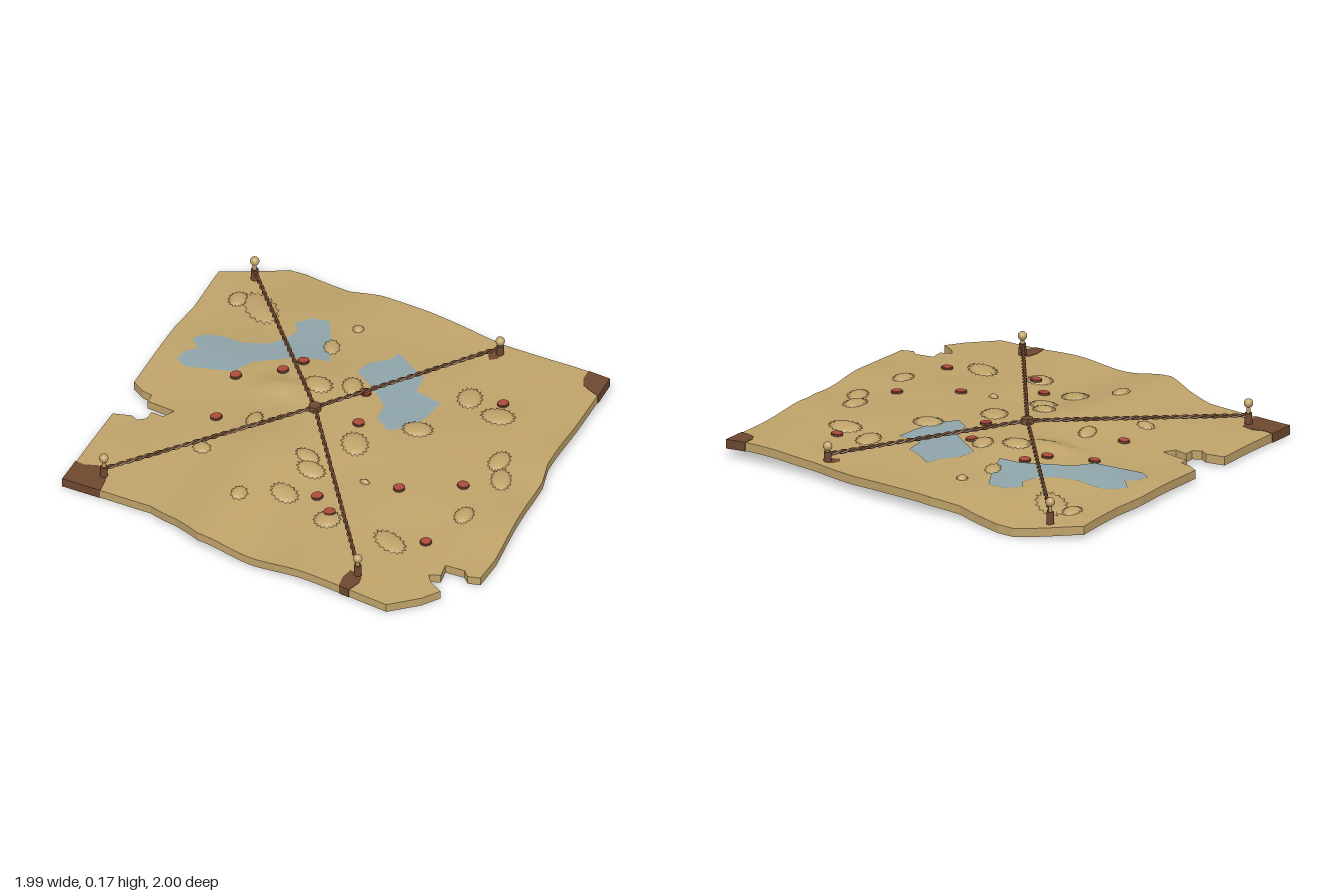
import * as THREE from 'three';
import { mergeGeometries } from 'three/addons/utils/BufferGeometryUtils.js';

const mat = (name, color, side = THREE.FrontSide) => new THREE.MeshStandardMaterial({ name, color, side });

// Terrain control heights in 1/200 units, rows z = -1..1, columns x = -1..1
const H = [
  [10, 8, 10, 16, 17, 16, 17, 19, 17],
  [12, 10, 15, 17, 16, 14, 16, 18, 15],
  [12, 12, 16, 18, 18, 16, 14, 17, 14],
  [13, 15, 18, 22, 20, 16, 17, 16, 18],
  [12, 12, 16, 20, 20, 18, 16, 14, 12],
  [10, 12, 16, 23, 18, 16, 16, 14, 14],
  [10, 12, 14, 21, 14, 16, 12, 12, 10],
  [9, 10, 12, 19, 12, 14, 12, 10, 9],
  [9, 9, 10, 17, 10, 14, 11, 9, 8],
];
const THICK = 0.04;
const clampI = (i) => Math.min(8, Math.max(0, i));
const cubic = (a, b, c, d, t) =>
  b + 0.5 * t * (c - a + t * (2 * a - 5 * b + 4 * c - d + t * (3 * (b - c) + d - a)));

// Smooth ground height of the upper face
function ground(x, z) {
  const u = (x + 1) * 4, v = (z + 1) * 4;
  const i = Math.min(7, Math.max(0, Math.floor(u))), j = Math.min(7, Math.max(0, Math.floor(v)));
  const rows = [-1, 0, 1, 2].map((dj) => {
    const r = H[clampI(j + dj)];
    return cubic(r[clampI(i - 1)], r[i], r[i + 1], r[clampI(i + 2)], u - i);
  });
  const knoll = 0.025 * Math.exp(-(((x + 0.37) / 0.1) ** 2) - ((z + 0.15) / 0.05) ** 2);
  return Math.max(THICK, cubic(...rows, v - j) / 200 + knoll);
}
function groundNormal(x, z) {
  const e = 0.01;
  return new THREE.Vector3(ground(x - e, z) - ground(x + e, z), 2 * e, ground(x, z - e) - ground(x, z + e)).normalize();
}

// Keep the part of a polygon on one side of an axis-aligned line
function clip(poly, axis, limit, sign) {
  const out = [];
  poly.forEach((a, i) => {
    const b = poly[(i + 1) % poly.length];
    const da = (a[axis] - limit) * sign, db = (b[axis] - limit) * sign;
    if (da >= 0) out.push(a);
    if (da * db < 0) out.push(a.clone().lerp(b, da / (da - db)));
  });
  return out;
}

// Drape an outline over the terrain; depth > 0 adds an underside and walls
function drape(points, lift, depth = 0, step = 0.05) {
  const outline = points.map(([x, z]) => new THREE.Vector2(x, z));
  if (THREE.ShapeUtils.area(outline) < 0) outline.reverse();
  const pos = [], nor = [];
  const put = (p, y, n) => { pos.push(p.x, y, p.y); nor.push(n.x, n.y, n.z); };
  const top = (p) => ground(p.x, p.y) + lift;
  for (let x = -1.05; x < 1.05; x += step) {
    const strip = clip(clip(outline, 'x', x, 1), 'x', x + step, -1);
    if (strip.length < 3) continue;
    for (let z = -1.05; z < 1.05; z += step) {
      const cell = clip(clip(strip, 'y', z, 1), 'y', z + step, -1);
      if (cell.length < 3) continue;
      for (const f of THREE.ShapeUtils.triangulateShape(cell, [])) {
        const t = f.map((k) => cell[k]);
        const area = THREE.ShapeUtils.area(t);
        if (Math.abs(area) < 1e-9) continue;
        if (area > 0) t.reverse();
        t.forEach((p) => put(p, top(p), groundNormal(p.x, p.y)));
        if (depth) t.reverse().forEach((p) => put(p, top(p) - depth, groundNormal(p.x, p.y).negate()));
      }
    }
  }
  if (depth) outline.forEach((a, i) => {
    const b = outline[(i + 1) % outline.length];
    const n = new THREE.Vector3(b.y - a.y, 0, a.x - b.x).normalize();
    const count = Math.ceil(a.distanceTo(b) / step);
    for (let k = 0; k < count; k++) {
      const p = a.clone().lerp(b, k / count), q = a.clone().lerp(b, (k + 1) / count);
      put(p, top(p), n); put(q, top(q), n); put(q, top(q) - depth, n);
      put(p, top(p), n); put(q, top(q) - depth, n); put(p, top(p) - depth, n);
    }
  });
  const g = new THREE.BufferGeometry();
  g.setAttribute('position', new THREE.Float32BufferAttribute(pos, 3));
  g.setAttribute('normal', new THREE.Float32BufferAttribute(nor, 3));
  return g;
}

// Low dome with a serrated rim, following the ground
function clump(x, z, rx, rz, turn, teeth) {
  const g = new THREE.SphereGeometry(1, teeth * 2, 5, 0, Math.PI * 2, 0, Math.PI / 2);
  const p = g.attributes.position;
  const c = Math.cos(turn), s = Math.sin(turn);
  for (let i = 0; i < p.count; i++) {
    const col = i % (teeth * 2 + 1), rim = Math.floor(i / (teeth * 2 + 1)) / 5;
    const k = col % 2 ? 1 - 0.22 * rim : 1;
    const a = p.getX(i) * rx * k, b = p.getZ(i) * rz * k;
    const wx = x + a * c - b * s, wz = z + a * s + b * c;
    p.setXYZ(i, wx, ground(wx, wz) + p.getY(i) * 0.02 - 0.003, wz);
  }
  g.computeVertexNormals();
  return g;
}

// Twisted strand between two points
function strand(a, b, phase) {
  const dir = b.clone().sub(a), len = dir.length();
  const side = new THREE.Vector3(-dir.z, 0, dir.x).normalize();
  const up = side.clone().cross(dir).normalize();
  const pts = [];
  const n = Math.round(len * 90);
  for (let i = 0; i <= n; i++) {
    const t = i / n, w = t * len * 70 + phase;
    pts.push(a.clone().addScaledVector(dir, t).addScaledVector(side, 0.005 * Math.cos(w)).addScaledVector(up, 0.005 * Math.sin(w)));
  }
  return new THREE.TubeGeometry(new THREE.CatmullRomCurve3(pts), n * 2, 0.0055, 6);
}

export function createModel() {
  const model = new THREE.Group();
  const tan = mat('parchment tan', 0xbfa36a);
  const brown = mat('burnt brown', 0x6e4830);
  const blue = mat('water blue', 0x8fa5aa);
  const red = mat('marker red', 0xb04a3c);
  const add = (name, geo, material, parent = model) => {
    const m = new THREE.Mesh(geo, material);
    m.name = name;
    parent.add(m);
    return m;
  };

  // Torn, rolling sheet
  add('sheet', drape([
    [-0.99, -0.84], [-0.72, -1], [-0.64, -1], [-0.4, -0.945], [-0.26, -0.96], [0, -0.94], [0.18, -0.915],
    [0.4, -0.87], [0.65, -0.85], [0.91, -0.84], [0.925, -0.18], [0.95, -0.07], [0.955, 0.1], [0.99, 0.5],
    [0.985, 0.65], [0.93, 0.665], [0.9, 0.635], [0.81, 0.64], [0.82, 0.71], [0.77, 0.73], [0.8, 0.77],
    [0.865, 0.81], [0.81, 0.89], [0.69, 1], [0.48, 0.98], [0, 0.955], [-0.26, 0.935], [-0.4, 0.865],
    [-0.55, 0.81], [-0.985, 0.785], [-0.985, 0.275], [-0.9, 0.255], [-0.865, 0.275], [-0.83, 0.25],
    [-0.83, 0.2], [-0.77, 0.21], [-0.74, 0.155], [-0.88, 0.135], [-0.88, 0.09], [-0.93, 0.08],
    [-0.99, 0.04], [-0.995, -0.4], [-0.98, -0.56],
  ], 0, THICK), tan);

  // Burnt patches wrapping the edges
  [
    [[0.81, -0.846], [0.914, -0.844], [0.917, -0.715], [0.87, -0.73], [0.83, -0.75], [0.81, -0.79]],
    [[-0.989, 0.65], [-0.94, 0.66], [-0.89, 0.64], [-0.83, 0.65], [-0.81, 0.72], [-0.8, 0.797], [-0.989, 0.789]],
    [[0.45, 0.86], [0.51, 0.87], [0.52, 0.92], [0.5, 0.985], [0.45, 0.981], [0.44, 0.92]],
  ].forEach((p) => add('burntPatch', drape(p, 0.002, THICK + 0.003), brown));
  add('burntSpot', drape([[0.36, -0.82], [0.39, -0.84], [0.41, -0.81], [0.4, -0.77], [0.37, -0.75], [0.35, -0.78]], 0.002), brown);

  // Lakes
  add('westLake', drape([
    [-0.46, -0.68], [-0.38, -0.69], [-0.32, -0.58], [-0.25, -0.41], [-0.35, -0.4], [-0.45, -0.345], [-0.56, -0.28],
    [-0.61, -0.19], [-0.72, -0.165], [-0.83, -0.145], [-0.885, -0.18], [-0.87, -0.25], [-0.83, -0.28],
    [-0.885, -0.34], [-0.85, -0.39], [-0.77, -0.415], [-0.67, -0.4], [-0.56, -0.435], [-0.5, -0.5], [-0.48, -0.57], [-0.515, -0.62],
  ], 0.003), blue);
  add('eastLake', drape([
    [0, -0.61], [0.08, -0.55], [0.17, -0.5], [0.18, -0.4], [0.31, -0.37], [0.3, -0.26], [0.27, -0.16],
    [0.19, -0.08], [0.11, -0.14], [0.1, -0.235], [0, -0.32], [-0.11, -0.4], [-0.09, -0.48], [-0.02, -0.55],
  ], 0.003), blue);

  // Serrated hills: x, z, half length, half width, turn
  add('hills', mergeGeometries([
    [-0.71, -0.68, 0.14, 0.075, 0.8], [-0.83, -0.7, 0.045, 0.06, 0], [-0.29, -0.52, 0.04, 0.06, -0.4],
    [-0.22, -0.23, 0.075, 0.06, 0.2], [-0.08, -0.29, 0.05, 0.07, -0.4], [0.41, -0.465, 0.06, 0.08, -0.3],
    [0.58, -0.395, 0.085, 0.065, 0], [0.3, -0.155, 0.075, 0.06, -0.2], [0.72, -0.11, 0.05, 0.075, 0],
    [0.78, 0, 0.05, 0.08, -0.4], [-0.375, 0.1, 0.04, 0.065, -0.2], [0.1, 0.07, 0.065, 0.085, -0.6],
    [-0.05, 0.24, 0.065, 0.045, 0.3], [0, 0.31, 0.075, 0.055, 0.2], [-0.04, 0.5, 0.075, 0.06, 0.4],
    [-0.21, 0.61, 0.04, 0.05, 0], [0.21, 0.59, 0.065, 0.065, 0], [0.52, 0.6, 0.1, 0.06, 0.5],
    [0.74, 0.3, 0.045, 0.065, 0], [-0.51, 0.36, 0.05, 0.04, 0.4], [-0.24, -0.69, 0.028, 0.028, 0],
    [0.25, 0.285, 0.025, 0.015, 0],
  ].map(([x, z, a, b, t]) => clump(x, z, a, b, t, a + b > 0.1 ? 16 : 9))), tan);

  // Red markers on brown discs, tilted to the ground
  [
    [-0.355, -0.365], [-0.41, -0.27], [-0.59, -0.165], [-0.545, 0.135], [-0.01, -0.275], [0.055, -0.065],
    [0.56, -0.49], [0.65, 0.115], [0.405, 0.26], [0.1, 0.46], [0.665, 0.535], [0.205, 0.555],
  ].forEach(([x, z]) => {
    const marker = new THREE.Group();
    marker.name = 'marker';
    marker.position.set(x, ground(x, z) + (x === 0.205 ? 0.014 : 0.004), z);
    marker.quaternion.setFromUnitVectors(new THREE.Vector3(0, 1, 0), groundNormal(x, z));
    add('markerRim', new THREE.CylinderGeometry(0.027, 0.027, 0.008, 16), brown, marker);
    add('markerFace', new THREE.CylinderGeometry(0.023, 0.023, 0.006, 16), red, marker).position.y = 0.003;
    model.add(marker);
  });

  // Central knot
  const hub = new THREE.Vector3(-0.145, 0.145, -0.035);
  add('hubKnot', new THREE.CylinderGeometry(0.026, 0.03, 0.026, 12), brown).position.copy(hub);

  // Pins with ball heads, and a twisted rope from each to the knot
  [[-0.83, -0.87, 0.09], [0.395, -0.81, 0.11], [-0.83, 0.695, 0.09], [0.49, 0.87, 0.1]].forEach(([x, z, y]) => {
    const base = ground(x, z) - 0.01;
    const pin = new THREE.Group();
    pin.name = 'pin';
    pin.position.set(x, 0, z);
    add('pinShaft', new THREE.CylinderGeometry(0.009, 0.009, 0.15 - base, 10), tan, pin).position.y = (0.15 + base) / 2;
    add('pinHead', new THREE.SphereGeometry(0.021, 16, 12), tan, pin).position.y = 0.147;
    add('pinCollar', new THREE.CylinderGeometry(0.016, 0.018, y + 0.012 - base, 12), brown, pin).position.y = (y + 0.012 + base) / 2;
    model.add(pin);
    const end = new THREE.Vector3(x, y, z);
    [0, Math.PI].forEach((phase) => add('ropeStrand', strand(end, hub, phase), brown));
  });
  return model;
}
